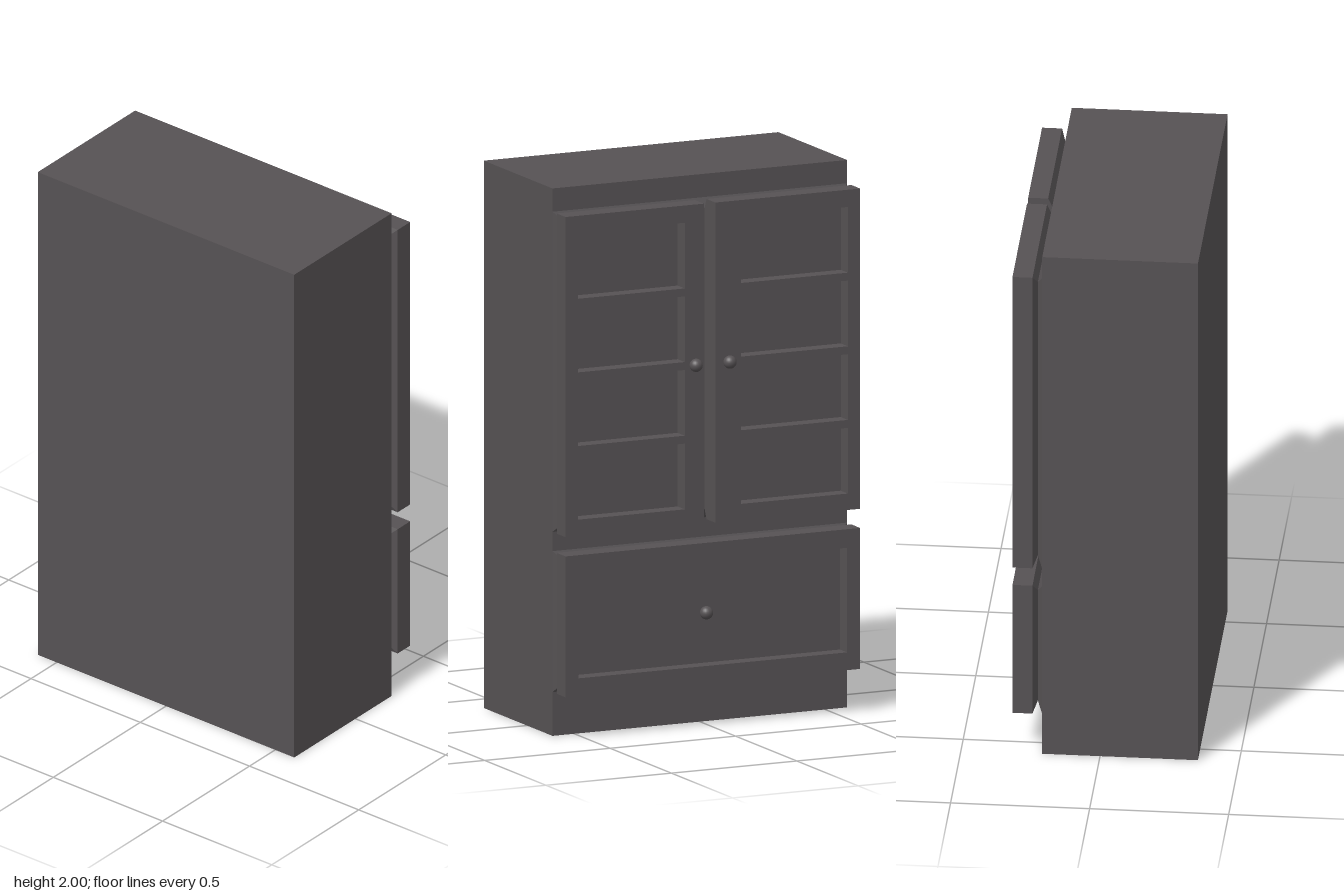
import * as THREE from 'three';

const W = 0.587; // half width
const Z = { back: 0.352, face: -0.208, neck: -0.227, rear: -0.243, front: -0.315, panel: -0.257 };

// Block whose rectangle [x0, x1, y0, y1] changes from z = za to z = zb (za > zb)
function taper(ra, za, rb, zb) {
  const geo = new THREE.BoxGeometry(1, 1, 1);
  const p = geo.attributes.position;
  for (let i = 0; i < p.count; i++) {
    const atA = p.getZ(i) > 0;
    const r = atA ? ra : rb;
    p.setXYZ(i, p.getX(i) > 0 ? r[1] : r[0], p.getY(i) > 0 ? r[3] : r[2], atA ? za : zb);
  }
  geo.computeVertexNormals();
  return geo;
}

function rectPath(path, [x0, x1, y0, y1]) {
  path.moveTo(x0, y0);
  path.lineTo(x1, y0);
  path.lineTo(x1, y1);
  path.lineTo(x0, y1);
  path.closePath();
  return path;
}

export function createModel() {
  const group = new THREE.Group();
  const paint = new THREE.MeshStandardMaterial({ color: 0x565254 });
  paint.name = 'charcoal paint';

  const add = (name, geo, parent = group) => {
    const mesh = new THREE.Mesh(geo, paint);
    mesh.name = name;
    parent.add(mesh);
    return mesh;
  };

  // Rectangle pulled in by a margin on each side
  const inset = ([x0, x1, y0, y1], l, r, v) => [x0 + l, x1 - r, y0 + v, y1 - v];

  // Front with bevelled rear edge, recessed openings and a backing panel
  const addFront = (name, rect, openings, l, r) => {
    const front = new THREE.Group();
    front.name = name;
    const shape = rectPath(new THREE.Shape(), rect);
    for (const o of openings) shape.holes.push(rectPath(new THREE.Path(), o));
    const frame = new THREE.ExtrudeGeometry(shape, { depth: Z.rear - Z.front, bevelEnabled: false });
    frame.translate(0, 0, Z.front);
    add(name + 'Frame', frame, front);
    const inner = inset(rect, 0.01, 0.01, 0.01);
    add(name + 'Panel', taper(inner, Z.rear, inner, Z.panel), front);
    add(name + 'RearBevel', taper(inset(rect, l, r, 0.035), Z.neck, rect, Z.rear), front);
    group.add(front);
  };

  const addKnob = (name, x, y, z) => {
    add(name, new THREE.SphereGeometry(0.024, 20, 14)).position.set(x, y, z);
  };

  // Cabinet body
  const body = [-W, W, 0, 2];
  add('body', taper(body, Z.back, body, Z.face));

  // Bevelled mounts behind the doors and the drawer
  const doorArea = [-W, W, 0.745, 1.915];
  const drawerArea = [-W, W, 0.16, 0.675];
  for (const [name, r] of [['doorMount', doorArea], ['drawerMount', drawerArea]]) {
    add(name, taper(r, Z.face, inset(r, 0.037, 0.037, 0.035), Z.neck));
  }

  // Two doors with four stacked panes each
  const panes = (x0, x1) =>
    [0, 1, 2, 3].map((i) => [x0, x1, 0.805 + i * 0.269, 1.045 + i * 0.269]);
  addFront('leftDoor', [0.036, W, 0.745, 1.915], panes(0.112, 0.538), 0, 0.037);
  addFront('rightDoor', [-W, -0.01, 0.745, 1.915], panes(-0.538, -0.112), 0.037, 0);
  addKnob('leftDoorKnob', 0.073, 1.33, -0.328);
  addKnob('rightDoorKnob', -0.062, 1.33, -0.328);

  // Drawer with one wide recess
  addFront('drawer', drawerArea, [[-0.535, 0.535, 0.225, 0.607]], 0.037, 0.037);
  addKnob('drawerKnob', 0.005, 0.41, -0.273);

  return group;
}
